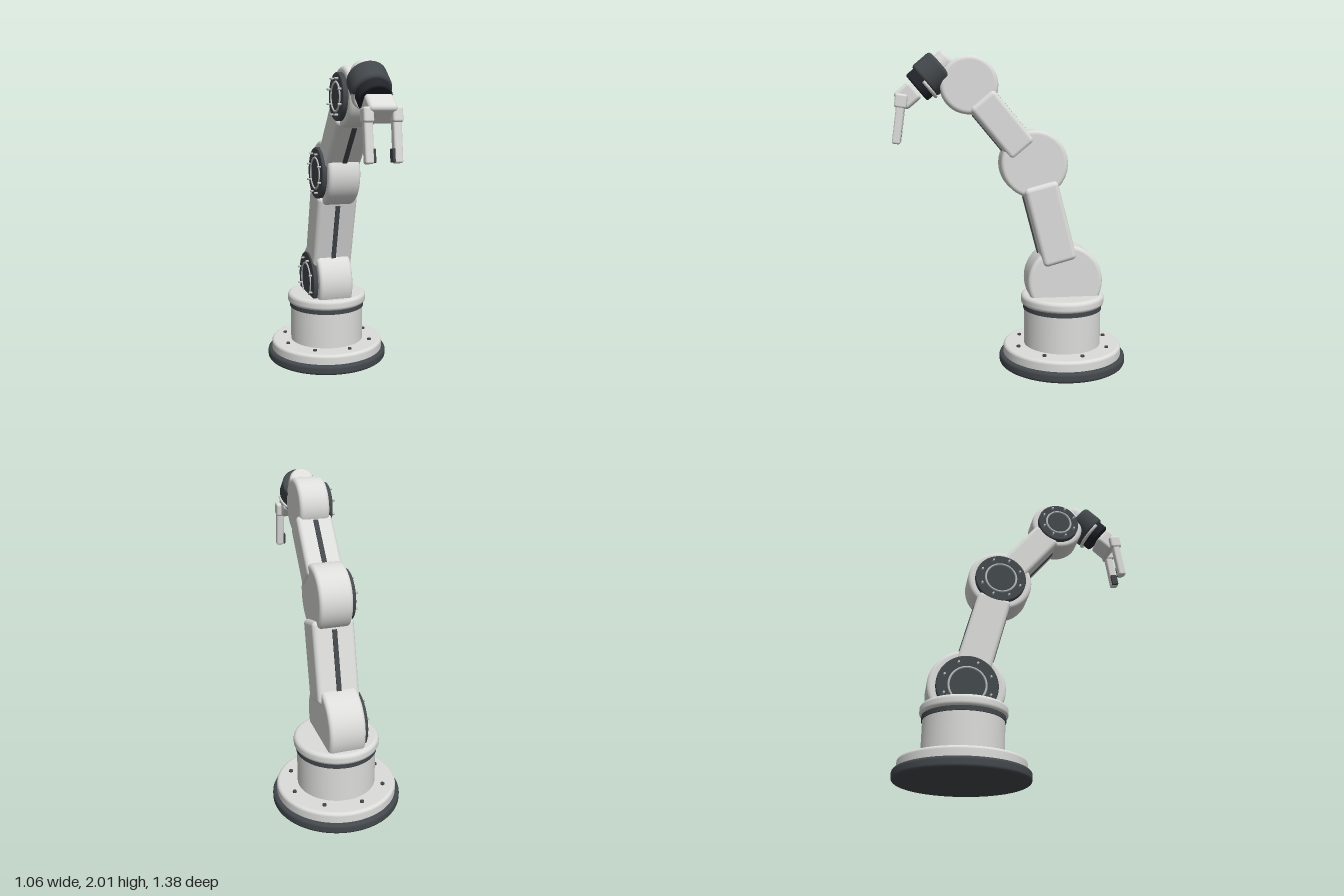
import * as THREE from 'three';
import { RoundedBoxGeometry } from 'three/addons/geometries/RoundedBoxGeometry.js';

const mat = (name, color) => {
  const m = new THREE.MeshStandardMaterial({ color });
  m.name = name;
  return m;
};

// Cylinder along y, centred, with rounded rims
function roundCylinder(r, h, bevel, segments = 64) {
  const pts = [new THREE.Vector2(0, -h / 2), new THREE.Vector2(r - bevel - 0.001, -h / 2)];
  for (const end of [-1, 1]) {
    for (let i = 0; i <= 6; i++) {
      const a = (end < 0 ? i - 6 : i) / 6 * Math.PI / 2;
      pts.push(new THREE.Vector2(r - bevel + bevel * Math.cos(a), end * (h / 2 - bevel) + bevel * Math.sin(a)));
    }
  }
  pts.push(new THREE.Vector2(r - bevel - 0.001, h / 2), new THREE.Vector2(0, h / 2));
  return new THREE.LatheGeometry(pts, segments);
}

export function createModel() {
  const shell = mat('light shell', 0xdcdcdb);
  const dark = mat('dark grey', 0x43484c);
  const black = mat('black', 0x22242a);
  const metal = mat('bare metal', 0xbfc1c3);

  const add = (parent, name, geometry, material, x = 0, y = 0, z = 0) => {
    const m = new THREE.Mesh(geometry, material);
    m.name = name;
    m.position.set(x, y, z);
    parent.add(m);
    return m;
  };
  const group = (parent, name, x = 0, y = 0, z = 0) => {
    const g = new THREE.Group();
    g.name = name;
    g.position.set(x, y, z);
    parent.add(g);
    return g;
  };

  const model = new THREE.Group();
  model.name = 'robotArm';

  // Base: foot, flange with bolts, column, seal and turntable
  const base = group(model, 'base', -0.124, 0, -0.277);
  add(base, 'foot', roundCylinder(0.414, 0.066, 0.02, 96), dark, 0, 0.033);
  add(base, 'flange', roundCylinder(0.387, 0.09, 0.02, 96), shell, 0, 0.085);
  add(base, 'column', new THREE.CylinderGeometry(0.252, 0.252, 0.27, 64), shell, 0, 0.25);
  add(base, 'seal', new THREE.CylinderGeometry(0.258, 0.258, 0.035, 64), dark, 0, 0.385);
  add(base, 'turntable', roundCylinder(0.272, 0.072, 0.025, 96), shell, 0, 0.43);
  for (let i = 0; i < 8; i++) {
    const a = i * Math.PI / 4;
    add(base, 'flangeBolt', new THREE.CylinderGeometry(0.013, 0.013, 0.02, 12), dark,
      0.308 * Math.sin(a), 0.13, 0.308 * Math.cos(a));
  }

  // Arm swings in its own y-z plane
  const arm = group(model, 'arm', -0.124, 0, -0.277);
  arm.rotation.y = 0.55;

  // Joints: rounded drums with a dark cover, ring and bolts on one side
  const joints = [
    { name: 'shoulder', y: 0.56, z: 0, r: 0.2425, half: 0.116 },
    { name: 'elbow', y: 1.32, z: 0.2, r: 0.212, half: 0.106 },
    { name: 'wristPitch', y: 1.806, z: 0.603, r: 0.178, half: 0.096 },
  ];
  for (const { name, y, z, r, half } of joints) {
    const joint = group(arm, name + 'Joint', 0, y, z);
    joint.rotation.z = Math.PI / 2;
    add(joint, name + 'Drum', roundCylinder(r, half * 2, 0.025), shell);
    const cover = 0.79 * r;
    add(joint, name + 'Cover', roundCylinder(cover, 0.05, 0.008), dark, 0, half + 0.005);
    const ring = add(joint, name + 'Ring', new THREE.TorusGeometry(cover * 0.6, 0.007, 8, 48), metal, 0, half + 0.031);
    ring.rotation.x = Math.PI / 2;
    for (let i = 0; i < 8; i++) {
      const a = (i + 0.5) * Math.PI / 4;
      add(joint, name + 'Bolt', new THREE.CylinderGeometry(0.007, 0.007, 0.03, 10), metal,
        cover * 0.8 * Math.cos(a), half + 0.036, cover * 0.8 * Math.sin(a));
    }
  }

  // Links: rounded boxes with a dark stripe front and back
  const links = [
    { name: 'upperArm', from: joints[0], to: joints[1], w: 0.27, d: 0.22, len: 0.52, stripe: 0.4 },
    { name: 'forearm', from: joints[1], to: joints[2], w: 0.232, d: 0.195, len: 0.41, stripe: 0.32 },
  ];
  for (const { name, from, to, w, d, len, stripe } of links) {
    const link = group(arm, name, 0, (from.y + to.y) / 2, (from.z + to.z) / 2);
    link.rotation.x = Math.atan2(to.z - from.z, to.y - from.y);
    add(link, name + 'Body', new RoundedBoxGeometry(w, len, d, 5, 0.03), shell);
    for (const s of [-1, 1]) {
      add(link, name + 'Stripe', new THREE.BoxGeometry(0.03, stripe, 0.008), dark, 0, 0, s * (d / 2 + 0.003));
    }
  }

  // Wrist: turned along its own axis
  const wrist = group(arm, 'wrist', 0, 1.872, 0.82);
  wrist.rotation.x = THREE.MathUtils.degToRad(130);
  add(wrist, 'wristNeck', roundCylinder(0.08, 0.12, 0.025), shell, 0, -0.08);
  add(wrist, 'wristBarrel', roundCylinder(0.117, 0.145, 0.022), dark);
  add(wrist, 'wristCollar', roundCylinder(0.1, 0.09, 0.012), black, 0, 0.088);
  const band = add(wrist, 'wristBand', new THREE.TorusGeometry(0.112, 0.011, 10, 32, Math.PI), shell, 0, 0.076);
  band.rotation.x = Math.PI / 2;
  add(wrist, 'palm', new RoundedBoxGeometry(0.165, 0.125, 0.125, 4, 0.022), shell, 0, 0.205);

  // Gripper: two fingers with dark inner pads
  const gripper = group(arm, 'gripper', 0, 1.585, 1.032);
  gripper.rotation.x = -0.14;
  for (const s of [-1, 1]) {
    add(gripper, 'knuckle', new RoundedBoxGeometry(0.06, 0.085, 0.075, 4, 0.014), shell, s * 0.083, 0.125, 0);
    add(gripper, 'finger', new RoundedBoxGeometry(0.05, 0.27, 0.05, 4, 0.012), shell, s * 0.083, 0, 0);
    add(gripper, 'fingerPad', new RoundedBoxGeometry(0.02, 0.075, 0.044, 3, 0.005), dark, s * 0.057, -0.092, 0);
  }
  return model;
}
